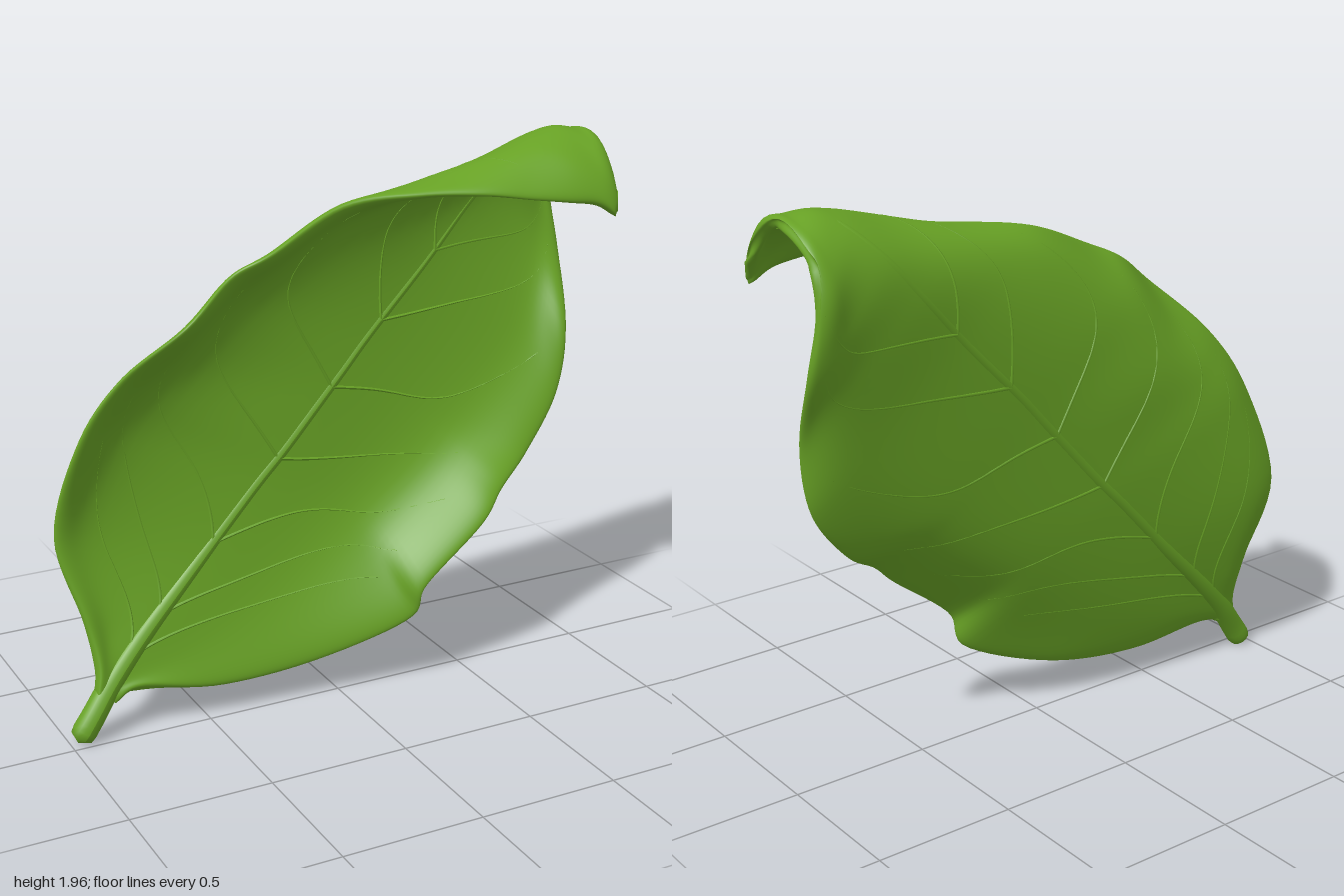
import * as THREE from 'three';

const vec = (p) => new THREE.Vector3(...p);
const smooth = (pts) => new THREE.CatmullRomCurve3(pts, false, 'catmullrom', 0.5);
const rail = (...pts) => smooth(pts.map(vec));

// Five rails run from the base to the curled tip; matching points form cross-sections
const leftEdge = rail([-.90, .17, -.05], [-.89, .27, -.06], [-.915, .43, -.095], [-.985, .72, -.15],
  [-.92, 1.06, -.06], [-.795, 1.285, .02], [-.615, 1.475, .155], [-.43, 1.6, .085], [-.29, 1.665, .1],
  [0, 1.78, .035], [.25, 1.805, .11], [.45, 1.8, .18], [.62, 1.775, .215], [.76, 1.755, .235],
  [.87, 1.735, .24], [.945, 1.69, .245]);
const leftMiddle = rail([-.885, .16, -.05], [-.86, .235, -.065], [-.83, .39, -.115], [-.83, .68, -.17],
  [-.72, 1, -.16], [-.6, 1.16, -.14], [-.47, 1.29, -.125], [-.32, 1.42, -.115], [-.17, 1.53, -.105],
  [.1, 1.69, -.09], [.38, 1.8, -.06], [.57, 1.87, .02], [.73, 1.905, .08], [.82, 1.875, .15],
  [.9, 1.8, .21], [.948, 1.702, .245]);
const middle = rail([-.87, .15, -.05], [-.83, .2, -.065], [-.7, .34, -.09], [-.5, .54, -.115],
  [-.27, .78, -.132], [-.15, .9, -.136], [-.03, 1.03, -.14], [.085, 1.155, -.145], [.2, 1.28, -.152],
  [.42, 1.5, -.166], [.6, 1.69, -.185], [.72, 1.82, -.17], [.82, 1.915, -.1], [.88, 1.942, 0],
  [.93, 1.87, .15], [.953, 1.71, .245]);
const rightMiddle = rail([-.85, .14, -.05], [-.79, .18, -.055], [-.56, .24, -.06], [-.27, .36, -.065],
  [.03, .54, -.075], [.17, .64, -.08], [.34, .77, -.088], [.435, .865, -.1], [.53, .97, -.115],
  [.75, 1.2, -.135], [.86, 1.42, -.17], [.9, 1.62, -.22], [.93, 1.79, -.225], [.95, 1.91, -.12],
  [.96, 1.92, .07], [.957, 1.73, .24]);
const rightEdge = rail([-.83, .13, -.05], [-.74, .163, -.03], [-.45, .118, -.01], [-.1, .153, .03],
  [.23, .275, .11], [.28, .41, .145], [.51, .595, .135], [.62, .695, .085], [.765, .795, .02], [.91, .985, -.02],
  [.955, 1.22, -.04], [1, 1.48, -.185], [.982, 1.7, -.225], [.975, 1.85, -.195], [.975, 1.93, 0],
  [.968, 1.77, .22]);
const rails = [leftEdge, leftMiddle, middle, rightMiddle, rightEdge];
const LAST_ROW = 15;
const HALF_THICKNESS = 0.022;

// Point on the middle of the blade: u runs base to tip, v left to right
const bladePoint = (u, v) => smooth(rails.map((r) => r.getPoint(u))).getPoint(v);

// Unit normal on the front side of the blade
function bladeNormal(u, v) {
  const e = 0.004, lo = (t) => Math.max(0, t - e), hi = (t) => Math.min(1, t + e);
  const du = bladePoint(hi(u), v).sub(bladePoint(lo(u), v));
  const dv = bladePoint(u, hi(v)).sub(bladePoint(u, lo(v)));
  return dv.cross(du).normalize();
}

// Closed shell: every ring crosses the front and returns along the back
function bladeGeometry(rows = 110, cols = 44) {
  const ring = cols * 2, positions = [], index = [];
  for (let i = 0; i <= rows; i++) {
    const u = i / rows;
    for (let j = 0; j < ring; j++) {
      const t = (j <= cols ? j : ring - j) / cols;
      const v = (1 - Math.cos(Math.PI * t)) / 2;
      const h = HALF_THICKNESS * Math.sqrt(Math.max(0, (1 - (2 * v - 1) ** 12) * (1 - u ** 50)));
      const p = bladePoint(u, v).addScaledVector(bladeNormal(u, v), j <= cols ? h : -h);
      positions.push(p.x, p.y, p.z);
      if (i === rows) continue;
      const a = i * ring + j, c = i * ring + (j + 1) % ring;
      index.push(a, c, a + ring, a + ring, c, c + ring);
    }
  }
  const g = new THREE.BufferGeometry();
  g.setAttribute('position', new THREE.Float32BufferAttribute(positions, 3));
  g.setIndex(index);
  g.computeVertexNormals();
  return g;
}

// Tube whose radius follows radiusAt(t)
function taperedTube(curve, segments, sides, radiusAt) {
  const g = new THREE.TubeGeometry(curve, segments, 1, sides);
  const pos = g.attributes.position, p = new THREE.Vector3();
  for (let k = 0; k < pos.count; k++) {
    const t = Math.floor(k / (sides + 1)) / segments;
    const c = curve.getPointAt(t);
    p.fromBufferAttribute(pos, k).sub(c).multiplyScalar(radiusAt(t)).add(c);
    pos.setXYZ(k, p.x, p.y, p.z);
  }
  g.computeVertexNormals();
  return g;
}

export function createModel() {
  const leaf = new THREE.Group();
  leaf.name = 'leaf';
  const green = new THREE.MeshStandardMaterial({ color: 0x68a225 });
  green.name = 'leafGreen';
  const add = (name, geometry, parent = leaf) => {
    const mesh = new THREE.Mesh(geometry, green);
    mesh.name = name;
    parent.add(mesh);
  };

  add('blade', bladeGeometry());

  // Stalk, continuing as the midrib up the blade
  const ribPoints = [vec([-.974, .006, -.042]), vec([-.915, .09, -.045])];
  for (let row = 1; row <= 13; row++) ribPoints.push(middle.getPoint(row / LAST_ROW));
  add('stalkAndMidrib', taperedTube(smooth(ribPoints), 120, 14, (t) =>
    t === 0 ? 0 : t < 0.012 ? 0.04 : 0.031 + 0.014 * Math.max(0, 1 - t / 0.3) - 0.008 * t));

  // Side veins, half sunk into both faces
  const veins = new THREE.Group();
  veins.name = 'sideVeins';
  leaf.add(veins);
  for (const start of [1.5, 2.3, 3.3, 4.8, 6.6, 8.2, 9.2]) {
    for (const side of [-1, 1]) {
      for (const face of [-1, 1]) {
        const pts = [];
        for (let k = 0; k <= 10; k++) {
          const s = k / 10;
          const u = (start + 2.2 * s + 0.4 * s * s) / LAST_ROW;
          const v = 0.5 + side * 0.38 * s;
          pts.push(bladePoint(u, v).addScaledVector(bladeNormal(u, v), face * (HALF_THICKNESS - 0.003)));
        }
        add('sideVein', taperedTube(smooth(pts), 40, 6, (t) => 0.007 - 0.004 * t), veins);
      }
    }
  }
  return leaf;
}
